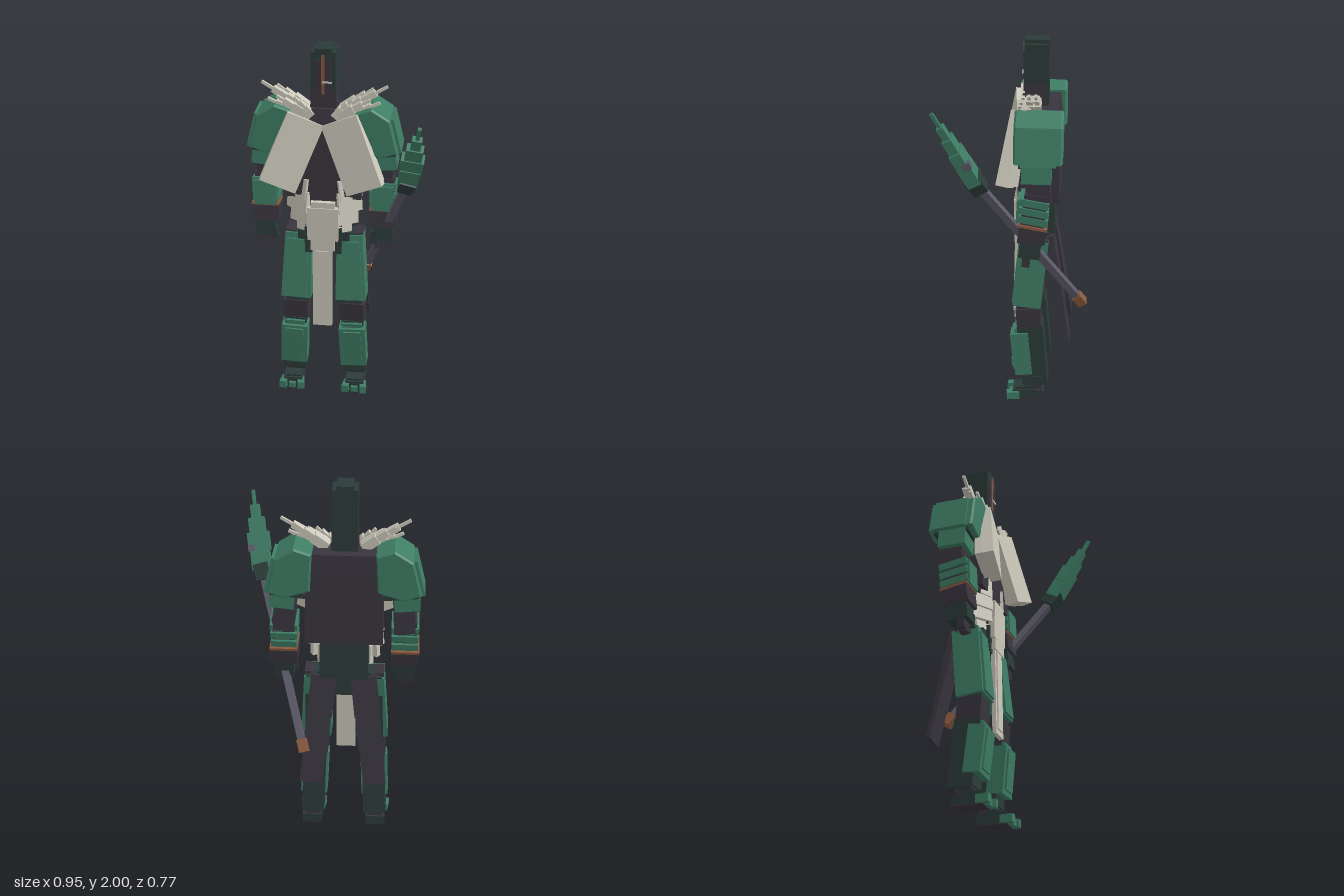
import * as THREE from 'three';

const paint = (name, hex) => {
  const m = new THREE.MeshStandardMaterial({ color: hex });
  m.name = name;
  return m;
};

export function createModel() {
  const green = paint('armour green', 0x3f7d65);
  const dark = paint('dark green', 0x2b3b39);
  const cloth = paint('dark cloth', 0x39353e);
  const bone = paint('bone white', 0xccc9bb);
  const copper = paint('copper', 0x8c5a40);
  const steel = paint('staff grey', 0x5c5a68);

  const model = new THREE.Group();
  model.name = 'armouredFigure';
  const body = new THREE.Group(); // centred on its own x = 0
  body.name = 'body';
  body.position.x = -0.08;
  model.add(body);

  // Box whose top may be narrower or wider than its base
  function block(name, mat, size, pos, rot = [0, 0, 0], top = [1, 1], parent = body) {
    const g = new THREE.BoxGeometry(...size);
    const p = g.attributes.position;
    for (let i = 0; i < p.count; i++) {
      if (p.getY(i) > 0) p.setXYZ(i, p.getX(i) * top[0], p.getY(i), p.getZ(i) * top[1]);
    }
    g.computeVertexNormals();
    const m = new THREE.Mesh(g, mat);
    m.name = name;
    m.position.set(...pos);
    m.rotation.set(...rot);
    parent.add(m);
    return m;
  }

  // Same block on both sides of the body
  function pair(name, mat, size, pos, rot = [0, 0, 0], top = [1, 1]) {
    for (const s of [1, -1]) {
      block((s > 0 ? 'left ' : 'right ') + name, mat, size,
        [pos[0] * s, pos[1], pos[2]], [rot[0], rot[1] * s, rot[2] * s], top);
    }
  }

  // Square bar between two points
  function bar(name, mat, a, b, w, parent, d = w, top = [1, 1]) {
    const A = new THREE.Vector3(...a), B = new THREE.Vector3(...b);
    const dir = B.clone().sub(A);
    const mid = A.clone().add(B).multiplyScalar(0.5);
    const m = block(name, mat, [w, dir.length(), d], mid.toArray(), [0, 0, 0], top, parent);
    m.quaternion.setFromUnitVectors(new THREE.Vector3(0, 1, 0), dir.normalize());
    return m;
  }

  // Head and hood
  block('lowerHead', cloth, [0.14, 0.2, 0.115], [0, 1.74, -0.096], [0, 0, 0], [0.88, 1]);
  block('hood', dark, [0.128, 0.2, 0.125], [0, 1.88, -0.097]);
  block('hoodCap', dark, [0.086, 0.04, 0.125], [0, 1.98, -0.097]);
  block('hoodBack', dark, [0.12, 0.24, 0.02], [0, 1.76, -0.15]);
  block('face', cloth, [0.084, 0.21, 0.008], [0, 1.835, -0.034]);
  block('faceStripe', copper, [0.017, 0.21, 0.006], [0, 1.865, -0.029]);
  block('faceMark', bone, [0.05, 0.009, 0.005], [0.02, 1.826, -0.025]);
  block('neck', cloth, [0.19, 0.09, 0.15], [0, 1.64, -0.08], [0, 0, 0], [0.6, 0.8]);

  // Torso, waist and hips
  block('torso', cloth, [0.4, 0.36, 0.215], [0, 1.38, -0.117], [0, 0, 0], [0.96, 1]);
  block('upperTorso', cloth, [0.384, 0.1, 0.215], [0, 1.61, -0.117], [0, 0, 0], [0.82, 0.9]);
  block('backPanel', cloth, [0.4, 0.04, 0.19], [0, 1.195, -0.13]);
  block('belly', cloth, [0.2, 0.2, 0.13], [0, 1.12, -0.08]);
  block('waist', dark, [0.25, 0.34, 0.15], [0, 1.03, -0.125]);
  block('hips', dark, [0.28, 0.12, 0.15], [0, 0.92, -0.1]);
  block('beltFrame', dark, [0.2, 0.15, 0.03], [0, 0.935, -0.02]);

  // Front plate and long hanging cloth
  block('beltPlate', bone, [0.165, 0.19, 0.035], [0, 1.04, 0.0]);
  block('beltPlateTip', bone, [0.13, 0.06, 0.033], [0, 0.915, 0.0]);
  block('beltPlateTop', bone, [0.13, 0.035, 0.03], [0, 1.15, -0.003]);
  block('hangingCloth', bone, [0.105, 0.47, 0.022], [-0.003, 0.655, 0.003], [-0.02, 0, 0]);
  block('hangingClothRidge', bone, [0.07, 0.43, 0.008], [-0.003, 0.665, 0.016], [-0.02, 0, 0]);

  // Overlapping waist scales
  const scales = [[0.135, 1.235, 0.13], [0.135, 1.16, 0.14], [0.125, 1.09, 0.12], [0.1, 1.04, 0.1]];
  scales.forEach(([x, y, w], i) =>
    pair('waistScale' + (i + 1), bone, [w, 0.12, 0.03], [x, y, -0.045], [-0.1, 0.6, 0.15 - i * 0.06]));

  // Flaring chest plates
  pair('chestPlate', bone, [0.2, 0.39, 0.06], [0.16, 1.455, 0.02], [-0.13, -0.16, 0.38]);
  pair('chestPlateLining', bone, [0.17, 0.36, 0.05], [0.175, 1.45, -0.015], [-0.13, -0.1, 0.38]);

  // Shoulder armour: front profile pulled through the depth
  const profile = [[0.16, 1.67], [0.25, 1.7], [0.345, 1.64], [0.39, 1.46], [0.3, 1.43], [0.17, 1.47]];
  for (const s of [1, -1]) {
    const side = s > 0 ? 'left ' : 'right ';
    const shape = new THREE.Shape(profile.map(([x, y]) => new THREE.Vector2(x * s, y)));
    const g = new THREE.ExtrudeGeometry(shape, { depth: 0.225, bevelEnabled: true, bevelSegments: 1,
      bevelThickness: 0.01, bevelSize: 0.008, bevelOffset: -0.008 });
    const m = new THREE.Mesh(g, green);
    m.name = side + 'pauldron';
    m.position.z = -0.235;
    body.add(m);
  }
  pair('pauldronPlate', green, [0.016, 0.19, 0.18], [0.376, 1.545, -0.125], [0, 0, 0.24]);
  pair('pauldronRim', dark, [0.18, 0.025, 0.19], [0.285, 1.44, -0.12], [0, 0, 0.1]);

  // Arms
  pair('upperArmPlate', green, [0.13, 0.12, 0.15], [0.315, 1.41, -0.115], [0, 0, 0.1]);
  pair('upperArm', cloth, [0.11, 0.22, 0.12], [0.305, 1.33, -0.125], [0.05, 0, 0.05]);
  pair('forearm', cloth, [0.125, 0.27, 0.13], [0.315, 1.155, -0.1], [-0.12, 0, 0], [0.9, 0.9]);
  for (let i = 0; i < 3; i++) {
    pair('bracerBand' + (i + 1), green, [0.142 - i * 0.004, 0.036, 0.152],
      [0.312, 1.245 - i * 0.048, -0.106 + i * 0.003], [-0.17, 0, 0]);
  }
  pair('bracerFront', green, [0.115, 0.135, 0.012], [0.312, 1.195, -0.022], [-0.05, 0, 0]);
  pair('bracerCopperBand', copper, [0.145, 0.014, 0.152], [0.315, 1.115, -0.098], [-0.17, 0, 0]);
  pair('cuff', cloth, [0.143, 0.08, 0.14], [0.314, 1.07, -0.095], [-0.12, 0, 0]);
  pair('hand', dark, [0.105, 0.1, 0.11], [0.317, 0.985, -0.085], [-0.1, 0, 0]);
  for (let i = 0; i < 4; i++) {
    pair('finger' + (i + 1), cloth, [0.02, 0.07, 0.04],
      [0.283 + i * 0.024, 0.92 - (i % 3 ? 0.012 : 0), -0.065], [-0.1, 0, 0]);
  }
  pair('thumb', dark, [0.025, 0.07, 0.035], [0.267, 0.96, -0.045], [0, 0, -0.15]);

  // Stepped bone spikes on the shoulders
  const spikes = [
    [[0.09, 1.66, -0.07], [0.325, 1.8, -0.075]],
    [[0.09, 1.66, -0.1], [0.25, 1.775, -0.105]],
    [[0.09, 1.65, -0.03], [0.24, 1.74, -0.03]],
    [[0.06, 1.64, -0.03], [0.15, 1.735, -0.035]],
    [[0.12, 1.64, -0.05], [0.29, 1.72, -0.05]],
  ];
  for (const s of [1, -1]) {
    spikes.forEach(([a, b], n) => {
      const at = t => a.map((v, k) => (v + (b[k] - v) * t) * (k === 0 ? s : 1));
      const spike = new THREE.Group();
      spike.name = (s > 0 ? 'left ' : 'right ') + 'shoulderSpike' + (n + 1);
      body.add(spike);
      [[0, 0.45, 0.05], [0.35, 0.75, 0.034], [0.7, 1, 0.015]].forEach(([t0, t1, w]) =>
        bar('spikeStep', bone, at(t0), at(t1), w, spike));
    });
  }

  // Thighs and knees
  pair('hipBlock', cloth, [0.05, 0.09, 0.11], [0.185, 0.925, -0.1], [0, 0, 0.05]);
  pair('thigh', dark, [0.13, 0.42, 0.13], [0.14, 0.75, -0.09], [-0.09, 0, 0.03]);
  pair('thighArmour', green, [0.165, 0.38, 0.145], [0.145, 0.765, -0.083], [-0.1, 0, 0.03], [0.84, 1]);
  pair('thighFrontPlate', green, [0.125, 0.34, 0.014], [0.147, 0.76, -0.004], [-0.1, 0, 0.03], [0.86, 1]);
  pair('kneeJoint', cloth, [0.115, 0.2, 0.11], [0.155, 0.49, -0.075]);
  pair('kneeGuard', cloth, [0.135, 0.11, 0.13], [0.156, 0.505, -0.07], [0.08, 0, 0]);

  // Shins
  pair('calf', dark, [0.12, 0.36, 0.13], [0.164, 0.27, -0.095], [0.1, 0, 0.03], [1, 1.08]);
  pair('shinArmour', green, [0.145, 0.25, 0.09], [0.164, 0.285, -0.035], [0.1, 0, 0.04]);
  pair('shinTop', green, [0.11, 0.05, 0.07], [0.16, 0.41, -0.03], [0.1, 0, 0.04]);
  pair('shinFrontPlate', green, [0.1, 0.21, 0.014], [0.164, 0.285, 0.013], [0.1, 0, 0.04]);
  pair('shinFoot', dark, [0.125, 0.05, 0.11], [0.17, 0.125, -0.095]);

  // Feet
  pair('ankle', cloth, [0.085, 0.09, 0.09], [0.173, 0.08, -0.1]);
  pair('foot', dark, [0.105, 0.05, 0.17], [0.175, 0.033, -0.07]);
  pair('instep', dark, [0.09, 0.03, 0.1], [0.175, 0.06, -0.05], [0.15, 0, 0]);
  pair('sole', cloth, [0.1, 0.016, 0.16], [0.175, 0.008, -0.07]);
  for (let i = -1; i <= 1; i++) {
    pair('toe' + (i + 2), green, [0.038, i ? 0.042 : 0.03, 0.07],
      [0.177 + i * 0.048, i ? 0.026 : 0.018, i ? 0.012 : 0.0], [0, i * 0.12, 0]);
  }

  // Coat tails in overlapping segments
  for (let i = 0; i < 3; i++) {
    pair('coatTail' + (i + 1), cloth, [0.135 - i * 0.008, 0.225, 0.034 - i * 0.005],
      [0.115 + i * 0.022, 0.855 - i * 0.19, -0.2 - i * 0.032], [0.17, 0, 0.11]);
  }

  // Spear in the left hand
  const spear = new THREE.Group();
  spear.name = 'spear';
  model.add(spear);
  const foot = [0.115, 0.6, -0.36], neck = [0.375, 1.385, 0.175], tip = [0.44, 1.765, 0.38];
  const mix = (a, b, t) => a.map((v, k) => v + (b[k] - v) * t);
  bar('shaft', steel, foot, neck, 0.038, spear);
  bar('buttCap', copper, foot, mix(foot, neck, 0.07), 0.05, spear);
  bar('collar', dark, mix(foot, neck, 0.95), mix(foot, neck, 1.04), 0.075, spear, 0.075, [1.1, 1.1]);
  const blades = [[0.02, 0.3, 0.1, 0.07], [0.25, 0.48, 0.115, 0.06], [0.42, 0.66, 0.085, 0.05],
    [0.6, 0.82, 0.05, 0.036], [0.8, 1, 0.018, 0.018]];
  blades.forEach(([a, b, w, d], i) =>
    bar('blade' + (i + 1), green, mix(neck, tip, a), mix(neck, tip, b), w, spear, d));
  [0.16, 0.32, 0.48].forEach((t, i) => {
    const c = mix(neck, tip, t);
    block('bladeInlay' + (i + 1), copper, [0.022, 0.025, 0.008],
      [c[0], c[1] + 0.015, c[2] + 0.033 - i * 0.003], [0.46, 0, -0.15], [1, 1], spear);
  });
  block('bladeStud', steel, [0.035, 0.035, 0.045], [0.435, 1.5, 0.215], [0.46, 0, -0.15], [1, 1], spear);

  return model;
}
